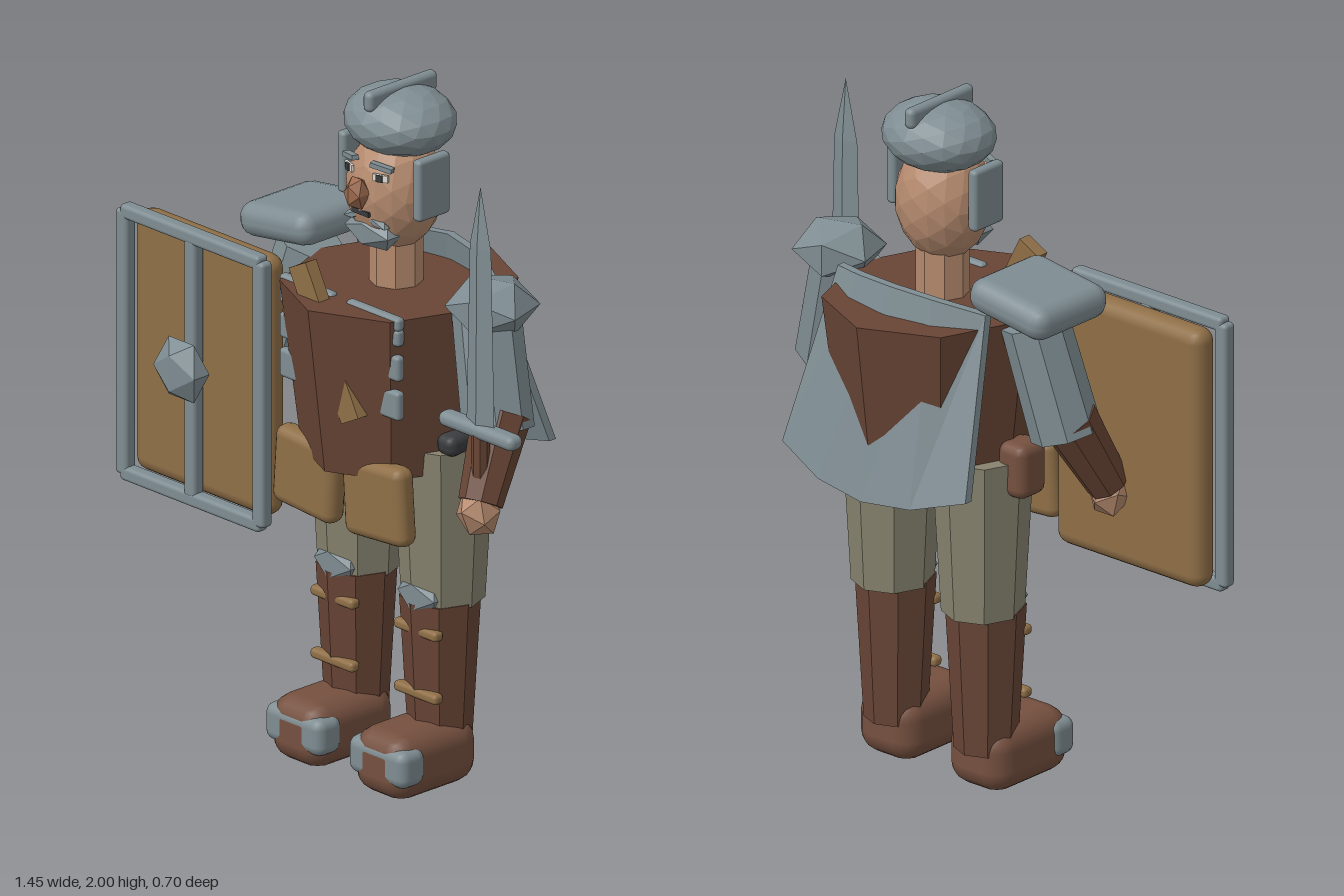
import * as THREE from 'three';
import { RoundedBoxGeometry } from 'three/addons/geometries/RoundedBoxGeometry.js';

const paint = (name, color) => Object.assign(new THREE.MeshStandardMaterial({ color }), { name });

export function createModel() {
  const steel = paint('steel', 0x7f8d92), leather = paint('dark leather', 0x684535);
  const boot = paint('boot leather', 0x75503f), tan = paint('tan hide', 0x8f6f47);
  const cloth = paint('trouser cloth', 0x87836f), skin = paint('skin', 0xb58a6e);
  const ruddy = paint('ruddy skin', 0x9c6a4e), dark = paint('dark', 0x3a3b3e);
  const white = paint('eye white', 0xe2ddd2);

  const model = new THREE.Group();
  const body = new THREE.Group();
  body.name = 'soldier';
  body.position.x = 0.095;
  model.add(body);

  const add = (name, geo, mat, pos = [0, 0, 0], rot = [0, 0, 0], scale = [1, 1, 1]) => {
    const m = new THREE.Mesh(geo, mat);
    m.name = name;
    m.position.set(...pos);
    m.rotation.set(...rot);
    m.scale.set(...scale);
    body.add(m);
    return m;
  };
  const flat = (geo) => {
    const g = geo.index ? geo.toNonIndexed() : geo;
    g.computeVertexNormals();
    return g;
  };
  const prism = (rt, rb, h, n = 8) => flat(new THREE.CylinderGeometry(rt, rb, h, n));
  const ball = (detail = 0) => flat(new THREE.IcosahedronGeometry(1, detail));
  const round = (w, h, d, r) => new RoundedBoxGeometry(w, h, d, 2, r);
  // Tapered limb between two points
  const limb = (name, mat, a, b, ra, rb) => {
    const A = new THREE.Vector3(...a), B = new THREE.Vector3(...b);
    const dir = A.clone().sub(B);
    const m = add(name, prism(ra, rb, dir.length()), mat);
    m.position.copy(A).add(B).multiplyScalar(0.5);
    m.quaternion.setFromUnitVectors(new THREE.Vector3(0, 1, 0), dir.normalize());
  };

  // Torso and neck
  add('torso', prism(0.343, 0.28, 0.49), leather, [0, 1.175, -0.01], [0, 0, 0], [0.9, 1, 1]);
  add('neck', prism(0.075, 0.075, 0.22), skin, [0, 1.5, 0]);

  // Cape: a thin box bent around the back and flared downwards
  const cape = new THREE.BoxGeometry(2, 1, 0.025, 4, 1, 1);
  const p = cape.attributes.position;
  for (let i = 0; i < p.count; i++) {
    const t = p.getX(i), k = 0.5 - p.getY(i), bend = t * t;
    p.setXYZ(i, t * (0.27 + 0.065 * k),
      1.5 - 0.6 * k + bend * (k ? 0.07 : -0.04),
      p.getZ(i) - 0.205 - 0.12 * k + bend * (k ? 0.055 : 0.09));
  }
  add('cape', flat(cape), steel);

  // Diagonal strap and chest plates
  add('chestStrap', new THREE.BoxGeometry(0.075, 0.45, 0.04), tan, [-0.005, 1.305, 0.25], [0, 0, 0.48]);
  for (const s of [-1, 1]) {
    for (const [y, h] of [[1.41, 0.04], [1.37, 0.05], [1.28, 0.075], [1.17, 0.085]])
      add('chestPlate', round(0.21, h, 0.03, 0.012), steel, [s * 0.132, y, 0.205]);
  }

  // Head, helmet and face
  add('head', ball(2), skin, [0, 1.695, 0.005], [0, 0, 0], [0.137, 0.175, 0.135]);
  add('helmet', ball(2), steel, [0, 1.89, -0.015], [0, 0, 0], [0.167, 0.098, 0.148]);
  add('crest', round(0.035, 0.06, 0.26, 0.016), steel, [0, 1.97, -0.015]);
  add('nose', ball(), ruddy, [0, 1.715, 0.148], [0, 0, 0], [0.036, 0.052, 0.04]);
  add('mouth', new THREE.BoxGeometry(0.065, 0.014, 0.03), dark, [0, 1.655, 0.122]);
  add('beard', ball(), steel, [0, 1.59, 0.085], [0, 0, 0], [0.1, 0.056, 0.055]);
  for (const s of [-1, 1]) {
    add('cheekGuard', round(0.032, 0.18, 0.12, 0.012), steel, [s * 0.149, 1.74, 0.01]);
    add('eyeWhite', new THREE.BoxGeometry(0.046, 0.02, 0.008), white, [s * 0.062, 1.768, 0.118], [0, s * 0.35, 0]);
    add('pupil', new THREE.BoxGeometry(0.02, 0.02, 0.008), dark, [s * 0.062, 1.768, 0.123], [0, s * 0.35, 0]);
    add('eyebrow', new THREE.BoxGeometry(0.066, 0.014, 0.02), steel, [s * 0.062, 1.798, 0.113], [0, s * 0.35, -s * 0.15]);
    add('moustache', ball(), steel, [s * 0.045, 1.632, 0.112], [0, 0, -s * 0.3], [0.045, 0.013, 0.02]);
  }

  for (const s of [-1, 1]) {
    // Arms
    limb('upperArm', steel, [s * 0.345, 1.43, -0.01], [s * 0.43, 1.11, 0.025], 0.095, 0.1);
    limb('forearm', leather, [s * 0.44, 1.16, 0.02], [s * 0.48, 0.94, 0.14], 0.082, 0.062);
    add('hand', ball(), skin, [s * 0.48, 0.915, 0.148], [0.4, 0, 0], [0.066, 0.075, 0.062]);

    // Legs and boots
    const x = s * 0.165;
    add('trouserLeg', prism(0.145, 0.118, 0.47), cloth, [x, 0.765, -0.02], [0, 0, 0], [0.95, 1, 1]);
    add('tasset', round(0.24, 0.23, 0.07, 0.03), tan, [s * 0.137, 0.865, 0.195], [0, 0, s * 0.07]);
    add('kneeCap', ball(), steel, [x, 0.56, 0.055], [0, 0, 0], [0.085, 0.075, 0.055]);
    add('bootShaft', prism(0.112, 0.088, 0.42), leather, [x, 0.33, -0.008]);
    for (const y of [0.46, 0.275])
      add('shinStrap', round(0.17, 0.03, 0.035, 0.012), tan, [x, y, 0.074]);
    add('foot', round(0.21, 0.19, 0.315, 0.065), boot, [x, 0.1, 0.085]);
    add('toeCap', round(0.226, 0.11, 0.095, 0.03), steel, [x, 0.11, 0.194]);
  }

  // Mismatched shoulder guards
  add('facetedShoulderGuard', ball(), steel, [0.37, 1.45, -0.01], [0, 0.3, 0], [0.13, 0.088, 0.135]);
  add('roundedShoulderGuard', round(0.285, 0.1, 0.295, 0.045), steel, [-0.363, 1.505, -0.015], [0, 0, 0.14]);

  // Items at the waist
  add('beltRoll', round(0.07, 0.062, 0.27, 0.025), dark, [0.262, 1.035, -0.06], [0.1, 0, 0]);
  add('pouch', round(0.1, 0.16, 0.11, 0.03), boot, [-0.29, 0.98, 0]);

  // Sword: diamond section blade, tip, guard and grip
  const sx = 0.48, sz = 0.14;
  add('blade', prism(0.042, 0.055, 0.53, 4), steel, [sx, 1.425, sz], [0, 0, 0], [1, 1, 0.33]);
  add('bladeTip', flat(new THREE.ConeGeometry(0.042, 0.18, 4)), steel, [sx, 1.78, sz], [0, 0, 0], [1, 1, 0.33]);
  add('guard', round(0.295, 0.044, 0.054, 0.02), steel, [sx, 1.155, sz]);
  add('grip', prism(0.026, 0.026, 0.24), leather, [sx, 1.03, sz]);

  // Shield: padded board, framed with bars and a faceted boss
  const hx = -0.53, hy = 1.08, hz = 0.258;
  add('shieldBoard', round(0.535, 0.765, 0.085, 0.04), tan, [hx, hy, 0.197]);
  for (const dx of [-0.27, 0, 0.27])
    add('shieldUpright', round(0.045, dx ? 0.78 : 0.76, 0.042, 0.012), steel, [hx + dx, hy, hz]);
  for (const dy of [-0.385, 0.385])
    add('shieldRail', round(0.55, 0.042, 0.042, 0.012), steel, [hx, hy + dy, hz]);
  add('shieldBoss', ball(), steel, [hx, 1.085, 0.305], [0, 0, 0], [0.095, 0.1, 0.055]);

  return model;
}
